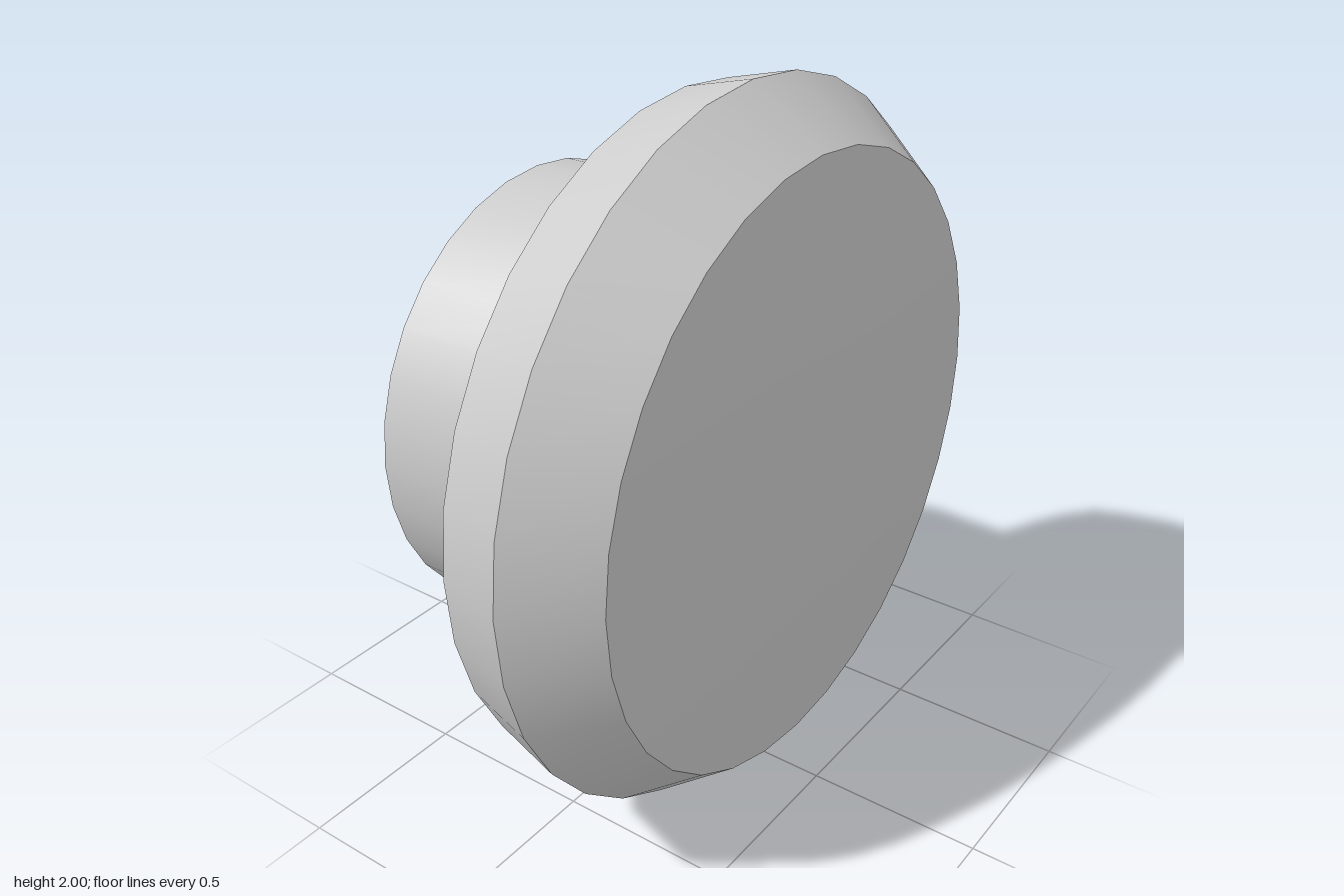
import * as THREE from 'three';
import { toCreasedNormals } from 'three/addons/utils/BufferGeometryUtils.js';

const SEGMENTS = 32;

// Turns a [radius, z] profile, listed back to front, around the z axis
function turned(name, profile, material) {
  const points = profile.map(([r, z]) => new THREE.Vector2(r, z));
  const lathe = new THREE.LatheGeometry(points, SEGMENTS).rotateX(Math.PI / 2);
  const mesh = new THREE.Mesh(toCreasedNormals(lathe, Math.PI / 6), material);
  mesh.name = name;
  mesh.position.y = 1;
  return mesh;
}

export function createModel() {
  const group = new THREE.Group();
  group.name = 'knob';
  const material = new THREE.MeshStandardMaterial({ color: 0xcccccc });

  // Cylindrical shank with a flat back end
  group.add(turned('shank', [[0, -0.475], [0.65, -0.475], [0.65, -0.075]], material));

  // Bevelled head with a shallow conical face
  group.add(turned('head', [
    [0.65, -0.075], [0.95, 0.025], [1, 0.225], [0.85, 0.425], [0, 0.475],
  ], material));

  return group;
}
